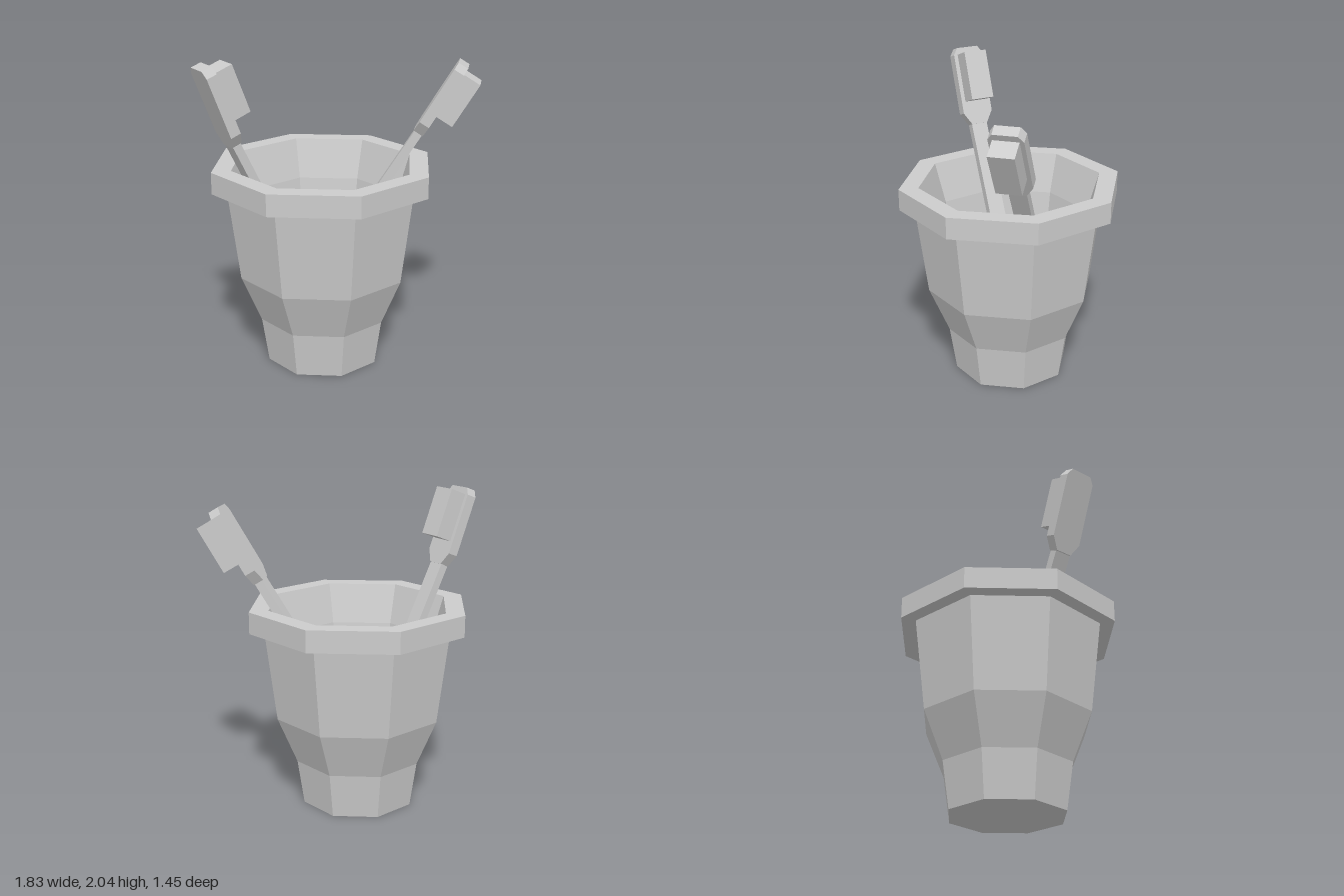
import * as THREE from 'three';

const material = new THREE.MeshStandardMaterial({ color: 0xcccccc, flatShading: true });
const rad = THREE.MathUtils.degToRad;

function addMesh(parent, name, geometry, x = 0, y = 0, z = 0) {
  const mesh = new THREE.Mesh(geometry, material);
  mesh.name = name;
  mesh.position.set(x, y, z);
  parent.add(mesh);
  return mesh;
}

// Eight-sided cup: outside wall, rim, then inside wall down to the floor
function makeCup() {
  const profile = [
    [0, 0], [0.38, 0], [0.425, 0.3], [0.555, 0.61], [0.63, 1.2],
    [0.727, 1.2], [0.727, 1.34], [0.6, 1.34],
    [0.52, 1.08], [0.45, 0.61], [0.365, 0.3], [0.31, 0.12], [0, 0.12],
  ].map(([r, y]) => new THREE.Vector2(r, y));
  return new THREE.LatheGeometry(profile, 8);
}

// Head plate: narrow neck, sloping shoulders, clipped top corners
function makeHeadPlate(thickness) {
  const half = [[0.055, 0], [0.105, 0.08], [0.105, 0.48], [0.075, 0.525]];
  const outline = [
    ...half,
    ...half.map(([x, y]) => [-x, y]).reverse(),
  ].map(([x, y]) => new THREE.Vector2(x, y));
  return new THREE.ExtrudeGeometry(new THREE.Shape(outline), { depth: thickness, bevelEnabled: false })
    .translate(0, 0, -thickness / 2);
}

// Brush stands on its handle end; bristles face local +z
function makeBrush(name, { position, facing, tilt, bend }) {
  const brush = new THREE.Group();
  brush.name = name;
  const length = 1.48;
  addMesh(brush, 'handle', new THREE.BoxGeometry(0.112, length, 0.055), 0, length / 2, 0);

  const head = new THREE.Group();
  head.name = 'head';
  head.position.y = length;
  head.rotation.x = rad(bend);
  addMesh(head, 'headPlate', makeHeadPlate(0.07));
  addMesh(head, 'bristles', new THREE.BoxGeometry(0.157, 0.32, 0.12), 0, 0.32, 0.095);
  brush.add(head);

  brush.position.set(...position);
  brush.rotation.set(rad(tilt), Math.atan2(facing[0], facing[1]), 0, 'YXZ');
  return brush;
}

export function createModel() {
  const model = new THREE.Group();
  model.name = 'toothbrushCup';
  addMesh(model, 'cup', makeCup(), -0.097, 0, 0);
  model.add(
    makeBrush('leftToothbrush', {
      position: [-0.165, 0.26, -0.28], facing: [0.878, 0.478], tilt: 32, bend: -1,
    }),
    makeBrush('rightToothbrush', {
      position: [-0.07, 0.21, -0.065], facing: [0.97, -0.24], tilt: -26, bend: 5,
    }),
  );
  return model;
}
